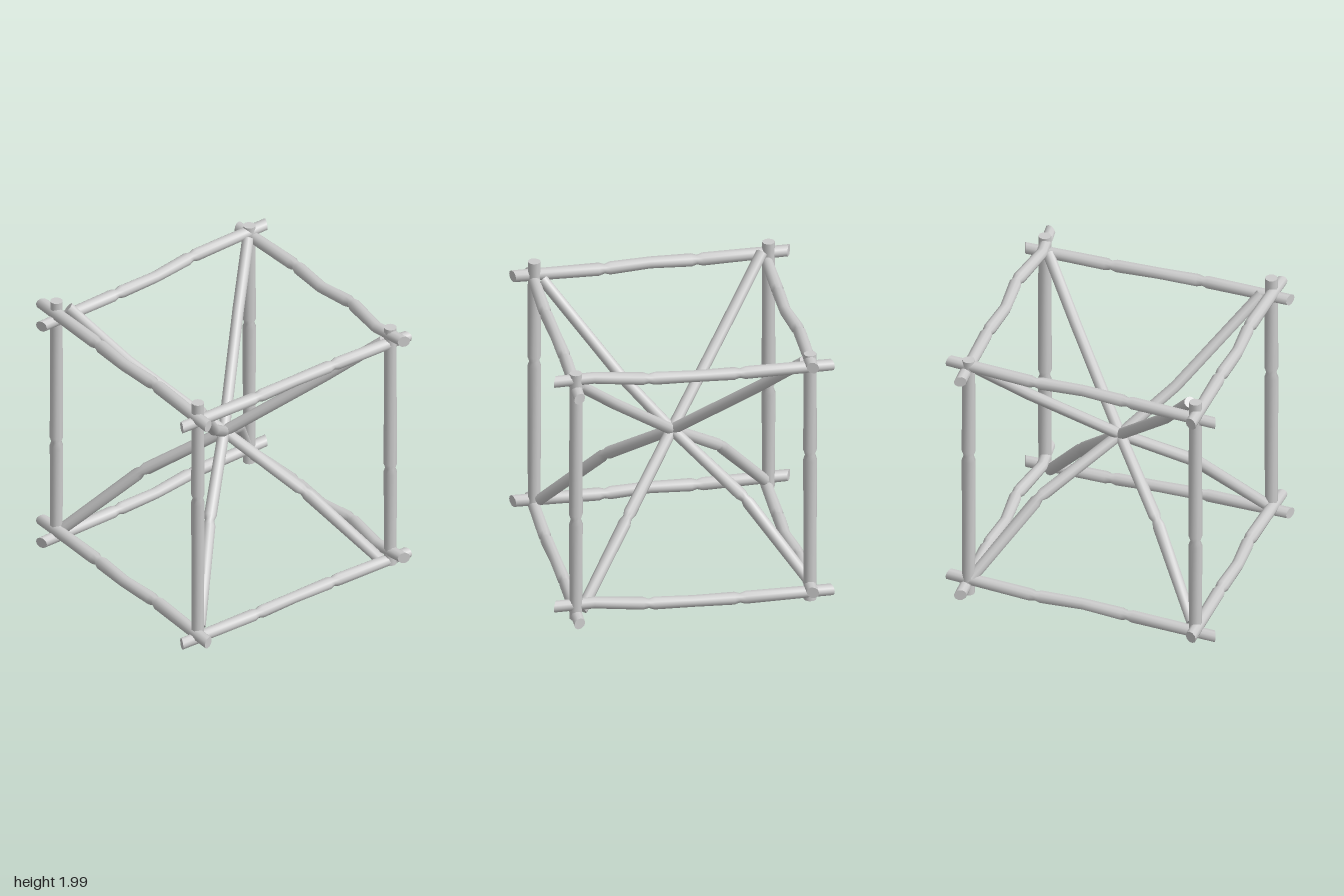
import * as THREE from 'three';

const SIDES = 10;
const V = (x, y, z) => new THREE.Vector3(x, y, z);
const material = new THREE.MeshStandardMaterial({ color: 0xcccccc });

// A crooked pole through the given points. nodes lists the points that carry
// a waisted joint; outward slants the two cut ends so that side is longer.
function pole(name, points, nodes, radius, outward = null) {
  const last = points.length - 1;
  const axis = points[last].clone().sub(points[0]).normalize();
  const ref = Math.abs(axis.y) > 0.9 ? V(0, 0, 1) : V(0, 1, 0);
  const u = ref.clone().cross(axis).normalize();
  const v = axis.clone().cross(u);

  // Centre and radius of every cross-section
  const rings = [];
  points.forEach((p, i) => {
    if (!nodes.includes(i)) {
      rings.push([p, radius]);
      return;
    }
    const toPrev = points[i - 1].clone().sub(p).normalize();
    const toNext = points[i + 1].clone().sub(p).normalize();
    rings.push([p.clone().addScaledVector(toPrev, 0.04), radius * 1.1]);
    rings.push([p, radius * 0.8]);
    rings.push([p.clone().addScaledVector(toNext, 0.04), radius * 1.1]);
  });

  const position = [];
  const index = [];
  const addRing = ([centre, r], slant) => {
    for (let s = 0; s < SIDES; s++) {
      const a = (s / SIDES) * Math.PI * 2;
      const off = u.clone().multiplyScalar(Math.cos(a) * r).addScaledVector(v, Math.sin(a) * r);
      const p = centre.clone().add(off);
      if (outward) p.addScaledVector(axis, slant * 0.4 * off.dot(outward));
      position.push(p.x, p.y, p.z);
    }
  };

  // Side wall
  const end = rings.length - 1;
  rings.forEach((ring, i) => addRing(ring, i === 0 ? -1 : i === end ? 1 : 0));
  for (let i = 0; i < end; i++) {
    for (let s = 0; s < SIDES; s++) {
      const t = (s + 1) % SIDES;
      const a = i * SIDES + s, b = i * SIDES + t;
      const c = a + SIDES, d = b + SIDES;
      index.push(a, b, d, a, d, c);
    }
  }

  // End caps with their own vertices, so the rims stay sharp
  for (const [ring, dir] of [[rings[0], -1], [rings[end], 1]]) {
    const first = position.length / 3;
    addRing(ring, dir);
    for (let s = 1; s < SIDES - 1; s++) {
      if (dir > 0) index.push(first, first + s, first + s + 1);
      else index.push(first, first + s + 1, first + s);
    }
  }

  const geometry = new THREE.BufferGeometry();
  geometry.setAttribute('position', new THREE.Float32BufferAttribute(position, 3));
  geometry.setIndex(index);
  geometry.computeVertexNormals();
  const mesh = new THREE.Mesh(geometry, material);
  mesh.name = name;
  return mesh;
}

export function createModel() {
  const group = new THREE.Group();
  group.name = 'poleCubeFrame';

  // Horizontal poles: the bottom square repeats the top one
  for (const [level, dy] of [['top', 0], ['bottom', -1.79]]) {
    group.add(
      pole(level + 'FrontRail', [
        V(-0.985, 1.91 + dy, 0.855), V(-0.33, 1.9 + dy, 0.85), V(0, 1.9 + dy, 0.866),
        V(0.33, 1.895 + dy, 0.84), V(0.98, 1.885 + dy, 0.86),
      ], [1, 3], 0.043, V(0, 0, 1)),
      pole(level + 'BackRail', [
        V(-0.985, 1.905 + dy, -0.85), V(-0.33, 1.91 + dy, -0.87), V(0, 1.905 + dy, -0.85),
        V(0.32, 1.93 + dy, -0.875), V(0.7, 1.94 + dy, -0.815), V(0.98, 1.95 + dy, -0.845),
      ], [1, 3], 0.042, V(0, 0, -1)),
      pole(level + 'LeftRail', [
        V(0.83, 1.87 + dy, -0.98), V(0.822, 1.865 + dy, -0.34), V(0.83, 1.865 + dy, 0),
        V(0.84, 1.86 + dy, 0.33), V(0.83, 1.845 + dy, 0.98),
      ], [1, 3], 0.042, V(1, 0, 0)),
      pole(level + 'RightRail', [
        V(-0.83, 1.96 + dy, -0.98), V(-0.845, 1.92 + dy, -0.34), V(-0.807, 1.9 + dy, 0),
        V(-0.815, 1.88 + dy, 0.33), V(-0.825, 1.845 + dy, 0.98),
      ], [1, 3], 0.042, V(-1, 0, 0)),
    );
  }

  // Upright corner posts, each with one joint
  const posts = [
    ['frontLeftPost', 0.83, 0.84, 1.21], ['frontRightPost', -0.838, 0.84, 0.84],
    ['backLeftPost', 0.832, -0.836, 0.84], ['backRightPost', -0.835, -0.838, 1.2],
  ];
  for (const [name, x, z, joint] of posts) {
    group.add(pole(name, [V(x, 0.05, z), V(x, joint, z), V(x, 2, z)], [1], 0.045));
  }

  // Crooked diagonals crossing in the middle, jointed on their lower halves
  const diagonals = {
    frontLeftDiagonal: [V(0.8, 0.12, 0.8), V(0.4, 0.65, 0.42), V(0, 1.03, 0),
      V(-0.52, 1.59, -0.51), V(-0.8, 1.92, -0.8)],
    frontRightDiagonal: [V(-0.8, 0.13, 0.8), V(-0.41, 0.65, 0.41), V(0, 1.03, 0),
      V(0.5, 1.55, -0.5), V(0.8, 1.88, -0.8)],
    backLeftDiagonal: [V(0.78, 0.08, -0.78), V(0.39, 0.58, -0.41), V(0, 1.03, 0),
      V(-0.47, 1.56, 0.49), V(-0.78, 1.95, 0.78)],
    backRightDiagonal: [V(-0.84, 0.17, -0.82), V(-0.44, 0.68, -0.45), V(0, 1.03, 0),
      V(0.3, 1.31, 0.31), V(0.78, 1.88, 0.78)],
  };
  for (const [name, points] of Object.entries(diagonals)) {
    group.add(pole(name, points, [1], 0.041));
  }
  return group;
}
